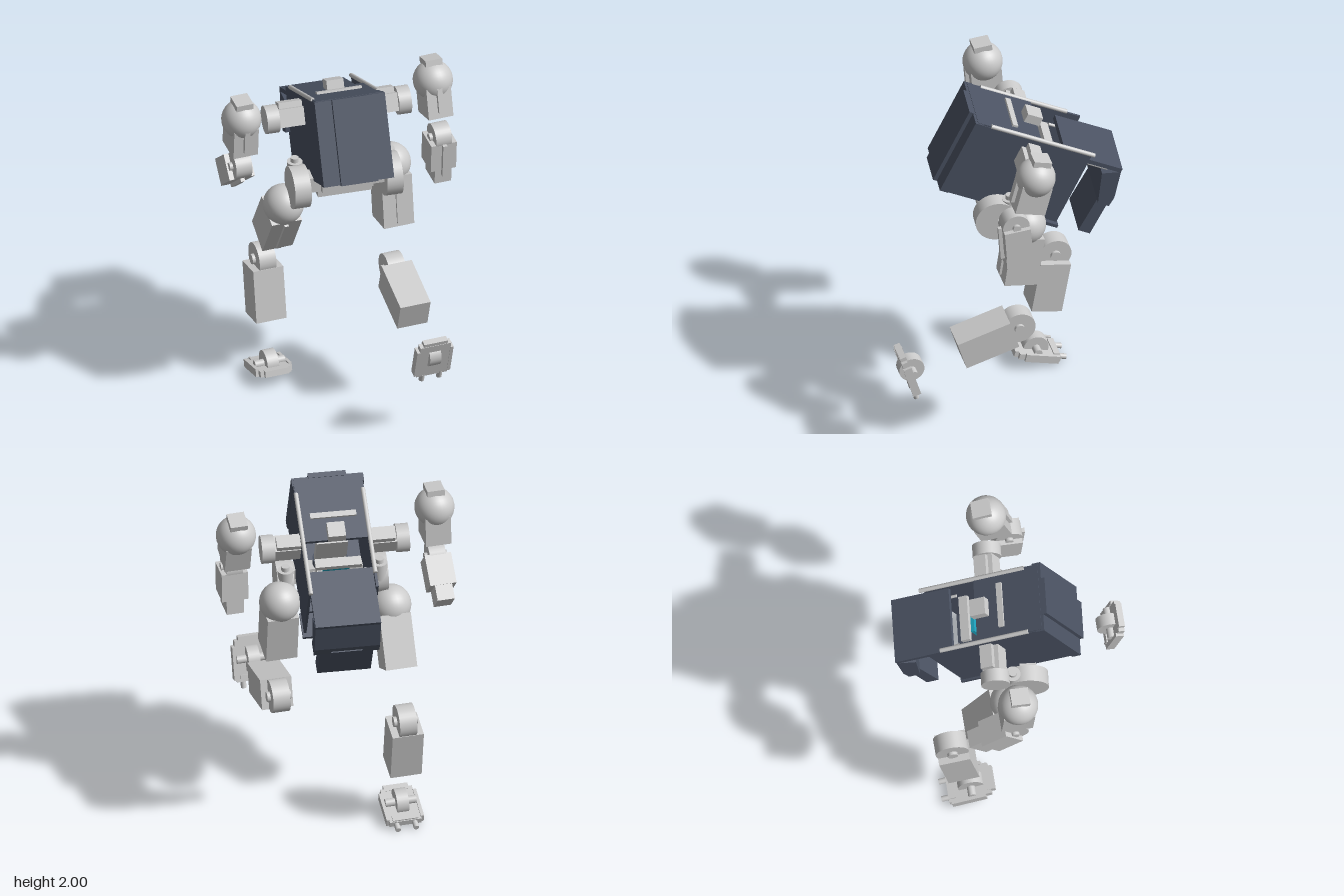
import * as THREE from 'three';

const mat = (color) => new THREE.MeshStandardMaterial({ color });
const grey = mat(0xcccccc), navy = mat(0x4b5363), cyan = mat(0x1fa5c0);

function add(parent, name, geometry, x, y, z, material = grey) {
  const mesh = new THREE.Mesh(geometry, material);
  mesh.name = name;
  mesh.position.set(x, y, z);
  parent.add(mesh);
  return mesh;
}
const box = (w, h, d) => new THREE.BoxGeometry(w, h, d);
const ball = (r) => new THREE.SphereGeometry(r, 32, 20);
const post = (r, h) => new THREE.CylinderGeometry(r, r, h, 32);
// disc with its axis along x
const disc = (r, w) => post(r, w).rotateZ(Math.PI / 2);
// rod along z
const rod = (r, l) => post(r, l).rotateX(Math.PI / 2);
// side profile of (z, y) points, extruded across x
function profile(points, width) {
  const shape = new THREE.Shape(points.map(([z, y]) => new THREE.Vector2(z, y)));
  return new THREE.ExtrudeGeometry(shape, { depth: width, bevelEnabled: false })
    .translate(0, 0, -width / 2).rotateY(-Math.PI / 2);
}
function joint(parent, name, x, y, z, tilt) {
  const g = new THREE.Group();
  g.name = name;
  g.position.set(x, y, z);
  g.rotation.x = tilt;
  parent.add(g);
  return g;
}

const YAW = -0.095, PITCH = -0.436;

// open cabin: front block, side walls, roof and floor
function buildCabin(root) {
  const g = joint(root, 'cabin', 0.01, 1.635, -0.065, PITCH);
  g.rotation.order = 'YXZ';
  g.rotation.y = YAW;
  add(g, 'frontBlock', box(0.39, 0.465, 0.05), 0, 0, 0.32, navy);
  add(g, 'frontPlate', box(0.205, 0.47, 0.03), 0, 0, 0.352, navy);
  add(g, 'roof', box(0.37, 0.02, 0.38), 0, 0.225, 0.14, navy);
  add(g, 'floor', box(0.37, 0.02, 0.56), 0, -0.225, 0.05, navy);
  add(g, 'rearSill', box(0.39, 0.018, 0.15), 0, -0.25, -0.295, navy);
  add(g, 'roofBox', box(0.095, 0.055, 0.09), 0, 0.26, -0.015);
  add(g, 'roofBar', box(0.25, 0.014, 0.032), 0, 0.24, 0.1);
  for (const s of [-1, 1]) {
    add(g, 'sideWall', box(0.014, 0.455, 0.66), s * 0.182, 0, -0.022, navy);
    const end = s > 0 ? -0.37 : -0.27;
    add(g, 'rail', rod(0.012, 0.25 - end), s * 0.181, 0.232, (0.25 + end) / 2);
    add(g, 'hatchRod', rod(0.008, 0.3), s * 0.14, 0.15, -0.34);
    // shoulder mounts
    add(g, 'shoulderBox', box(0.15, 0.1, 0.1), s * 0.255, 0.12, -0.01);
    add(g, 'shoulderLedge', box(0.13, 0.035, 0.07), s * 0.255, 0.185, -0.02);
    add(g, 'shoulderDisc', disc(0.077, 0.07), s * 0.365, 0.12, -0.01);
  }
  // cockpit
  add(g, 'cockpitBar', box(0.25, 0.03, 0.05), 0, 0.15, -0.15);
  add(g, 'screen', box(0.14, 0.13, 0.02), 0, 0.06, -0.12, cyan);
  add(g, 'seat', box(0.17, 0.05, 0.16), 0, -0.14, -0.05);
  add(g, 'seatBack', box(0.17, 0.2, 0.04), 0, -0.05, 0.05);

  // rear hatch, slid open
  const hatch = joint(g, 'hatch', 0, 0, 0, 0);
  add(hatch, 'hatchTop', box(0.355, 0.025, 0.34), 0, 0.183, -0.385, navy);
  add(hatch, 'hatchUpper', profile([[-0.46, 0.134], [-0.522, -0.051], [-0.587, -0.051],
    [-0.592, 0.011], [-0.555, 0.175]], 0.355), 0, 0, 0, navy);
  add(hatch, 'hatchLower', profile([[-0.522, -0.051], [-0.511, -0.267], [-0.58, -0.267],
    [-0.587, -0.051]], 0.29), 0, 0, 0, navy);
  add(hatch, 'hatchPanel', box(0.17, 0.07, 0.015), 0, -0.06, -0.588, navy);
}

// hip crossbar with a disc at each end
function buildPelvis(root) {
  const g = joint(root, 'pelvis', -0.005, 1.4, 0.05, 0);
  g.rotation.y = YAW;
  add(g, 'crossbar', box(0.44, 0.09, 0.09), 0, 0.03, 0.01);
  add(g, 'crossbarPlate', box(0.285, 0.085, 0.04), 0, 0.03, 0.06);
  add(g, 'crossbarBase', box(0.3, 0.07, 0.08), 0, -0.04, -0.02);
  add(g, 'turntable', post(0.095, 0.05), 0, 0.085, 0.01, navy);
  for (const s of [-1, 1]) {
    add(g, 'hipDisc', disc(0.117, 0.09), s * 0.255, 0, 0);
    add(g, 'hipPin', post(0.042, 0.1), s * 0.255, 0.065, -0.075);
    add(g, 'hipPinCap', post(0.022, 0.03), s * 0.255, 0.125, -0.075);
  }
}

function buildUpperArm(root, x, y, z, tilt) {
  const g = joint(root, 'upperArm', x, y, z, tilt);
  add(g, 'shoulderBall', ball(0.108), 0, 0, 0);
  add(g, 'shoulderCap', box(0.095, 0.035, 0.1), 0, 0.11, 0);
  add(g, 'armBlock', box(0.14, 0.17, 0.17), 0, -0.11, 0);
  add(g, 'armRib', box(0.03, 0.16, 0.03), 0, -0.08, 0.09);
}

function buildForearm(root, x, y, z, tilt) {
  const g = joint(root, 'forearm', x, y, z, tilt);
  add(g, 'elbowDisc', disc(0.074, 0.09), 0, 0, 0);
  add(g, 'elbowPin', disc(0.022, 0.125), 0, 0, 0);
  add(g, 'forearmBlock', box(0.145, 0.17, 0.145), 0, -0.095, 0);
  add(g, 'wristBlock', box(0.095, 0.09, 0.14), 0, -0.22, 0);
  add(g, 'forearmRib', box(0.024, 0.2, 0.025), 0, -0.11, 0.08);
}

function buildThigh(root, x, y, z, tilt) {
  const g = joint(root, 'thigh', x, y, z, tilt);
  add(g, 'hipBall', ball(0.111), 0, 0, 0);
  add(g, 'thighBlock', box(0.172, 0.295, 0.185), 0, -0.195, 0);
  add(g, 'thighRib', box(0.024, 0.25, 0.02), 0, -0.195, 0.095);
}

function buildShin(root, x, y, z, tilt) {
  const g = joint(root, 'shin', x, y, z, tilt);
  add(g, 'kneeDisc', disc(0.09, 0.095), 0, 0, 0);
  add(g, 'kneePin', disc(0.028, 0.13), 0, 0, 0);
  add(g, 'shinBlock', box(0.172, 0.305, 0.17), 0, -0.19, 0);
}

function buildFoot(root, x, y, z, tilt) {
  const g = joint(root, 'foot', x, y, z, tilt);
  add(g, 'ankleDisc', disc(0.07, 0.065), 0, 0, 0);
  add(g, 'ankleBar', disc(0.022, 0.17), 0, 0, 0);
  add(g, 'sole', box(0.175, 0.034, 0.235), 0, -0.026, -0.015);
  add(g, 'toePlate', box(0.135, 0.034, 0.04), 0, -0.024, 0.105);
  add(g, 'heelBar', box(0.14, 0.02, 0.035), 0, -0.012, -0.11);
  for (const s of [-1, 1]) {
    add(g, 'soleEdge', box(0.018, 0.045, 0.19), s * 0.094, -0.024, -0.025);
    add(g, 'heelKnob', rod(0.015, 0.05), s * 0.05, -0.03, -0.148);
  }
}

export function createModel() {
  const root = new THREE.Group();
  root.name = 'walkingMachine';
  buildCabin(root);
  buildPelvis(root);
  // left limbs at +x, right limbs at -x, posed mid-stride
  buildUpperArm(root, 0.545, 1.845, -0.067, -0.25);
  buildUpperArm(root, -0.55, 1.845, -0.067, 0.08);
  buildForearm(root, 0.54, 1.56, 0.05, 0.07);
  buildForearm(root, -0.55, 1.536, -0.09, 0.87);
  buildThigh(root, 0.305, 1.365, -0.075, -0.138);
  buildThigh(root, -0.308, 1.24, -0.07, 0.527);
  buildShin(root, 0.302, 0.71, -0.03, -1.275);
  buildShin(root, -0.308, 0.697, -0.393, -0.17);
  buildFoot(root, 0.303, 0.537, 0.563, -1.28);
  buildFoot(root, -0.308, 0.087, -0.29, -0.253);
  return root;
}
